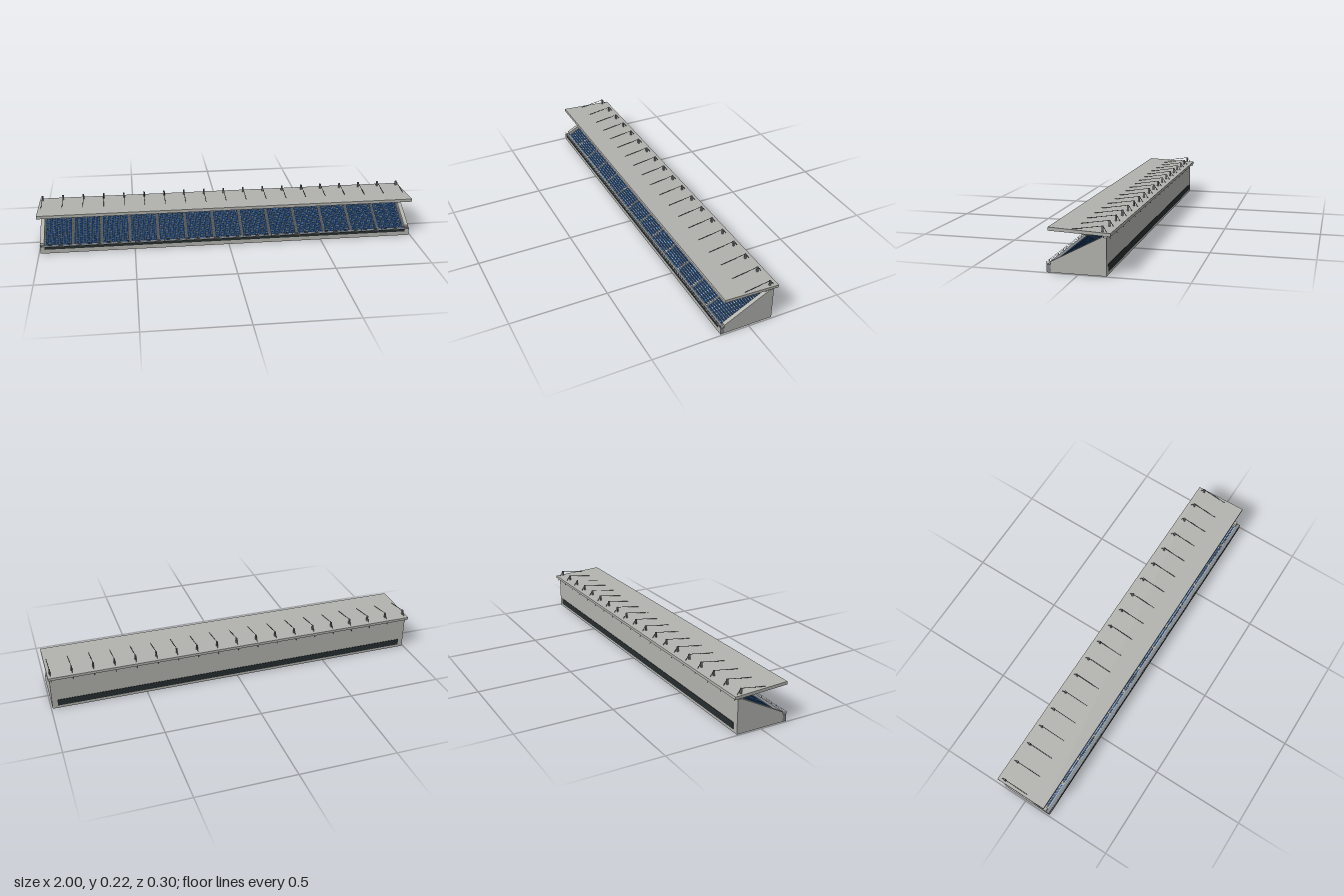
import * as THREE from 'three';
import { mergeGeometries } from 'three/addons/utils/BufferGeometryUtils.js';

const mat = (name, color) => new THREE.MeshStandardMaterial({ name, color });

// Box given by its limits on each axis
function box(x0, x1, y0, y1, z0, z1) {
  return new THREE.BoxGeometry(x1 - x0, y1 - y0, z1 - z0)
    .translate((x0 + x1) / 2, (y0 + y1) / 2, (z0 + z1) / 2);
}

// Thin round bar in a plane of constant x, between two [z, y] points
function rod(x, a, b, r) {
  const p = new THREE.Vector3(x, a[1], a[0]);
  const q = new THREE.Vector3(x, b[1], b[0]);
  const d = q.clone().sub(p);
  const turn = new THREE.Quaternion().setFromUnitVectors(new THREE.Vector3(0, 1, 0), d.clone().normalize());
  const mid = p.add(q).multiplyScalar(0.5);
  return new THREE.CylinderGeometry(r, r, d.length(), 6).applyQuaternion(turn).translate(mid.x, mid.y, mid.z);
}

// Outline of [z, y] points extruded along x
function slab(points, x0, x1) {
  const shape = new THREE.Shape(points.map(([z, y]) => new THREE.Vector2(-z, y)));
  return new THREE.ExtrudeGeometry(shape, { depth: x1 - x0, bevelEnabled: false })
    .rotateY(Math.PI / 2).translate(x0, 0, 0);
}

export function createModel() {
  const concrete = mat('concrete', 0xb2b2ae);
  const steel = mat('steel', 0x7f8489);
  const cable = mat('dark cable', 0x45494c);
  const glass = mat('dark glass', 0x262d2f);
  const blue = mat('seat blue', 0x2c62a6);
  const aisle = mat('aisle concrete', 0xa3a5a4);

  const group = new THREE.Group();
  group.name = 'grandstand';
  const add = (name, geos, material) => {
    const mesh = new THREE.Mesh(mergeGeometries(geos), material);
    mesh.name = name;
    group.add(mesh);
  };

  // End walls with the sloping top edge
  const profile = [[0.128, 0], [0.128, 0.05], [-0.105, 0.173], [-0.127, 0.173], [-0.127, 0]];
  add('endWalls', [slab(profile, 0.972, 0.993), slab(profile, -0.993, -0.972)], concrete);
  add('backWall', [box(-0.972, 0.972, 0, 0.173, -0.127, -0.106)], concrete);
  add('backWindowBand', [box(-0.965, 0.965, 0.015, 0.049, -0.129, -0.127)], glass);

  // Terraces, seats and aisle stairs
  const rows = 22, blocks = 13, seatsPerRow = 15;
  const pitch = 0.0106, rise = 0.0056, blockWidth = 0.1496, aisleWidth = 0.013;
  const steps = [], stairs = [], seats = [];
  for (let r = 0; r < rows; r++) {
    const z1 = 0.128 - r * pitch, z0 = z1 - pitch, y = 0.032 + r * rise;
    steps.push(box(-0.972, 0.972, 0, y, z0 + 0.0006, z1));
    for (let b = 0; b < blocks; b++) {
      const left = (b - blocks / 2) * blockWidth;
      if (b > 0) {
        const w = aisleWidth / 2 - 0.0015;
        stairs.push(box(left - w, left + w, y, y + rise / 2, z0, z1 - pitch / 2));
      }
      const step = (blockWidth - aisleWidth) / seatsPerRow;
      for (let s = 0; s < seatsPerRow; s++) {
        const x = left + aisleWidth / 2 + (s + 0.5) * step, h = step * 0.41;
        seats.push(box(x - h, x + h, y + 0.0025, y + 0.004, z0 + 0.002, z0 + 0.0072));
        seats.push(box(x - h, x + h, y + 0.0025, y + 0.0092, z0 + 0.0008, z0 + 0.002));
      }
    }
  }
  add('terraceSteps', steps, concrete);
  add('aisleStairs', stairs, aisle);
  add('seats', seats, blue);

  // Front walkway, its facing and the dark band
  add('frontWalkway', [box(-0.993, 0.993, 0, 0.037, 0.128, 0.146)], steel);
  add('frontFacing', [box(-0.993, 0.993, 0, 0.037, 0.146, 0.147)], concrete);
  add('frontBand', [box(-0.97, 0.97, 0.022, 0.036, 0.147, 0.148)], glass);

  // Guard rail along the front
  const rail = [0.043, 0.049].map(y => box(-0.993, 0.993, y - 0.0004, y + 0.0004, 0.1462, 0.147));
  for (let i = 0; i <= 52; i++) {
    const x = -0.992 + i * (1.984 / 52);
    rail.push(box(x - 0.0005, x + 0.0005, 0.037, 0.049, 0.1462, 0.147));
  }
  add('frontRail', rail, steel);

  // Tapered cantilever roof
  add('roof', [slab([[0.136, 0.191], [0.136, 0.207], [-0.147, 0.194], [-0.147, 0.18]], -1, 1)], concrete);

  // Masts with stays above the roof and struts below it
  const masts = [], stays = [], struts = [];
  for (let i = 0; i < 19; i++) {
    const x = (i - 9) * 0.1094;
    masts.push(box(x - 0.004, x + 0.004, 0.165, 0.223, -0.112, -0.104));
    stays.push(rod(x, [-0.106, 0.222], [0.03, 0.201], 0.0014));
    stays.push(rod(x, [-0.11, 0.222], [-0.144, 0.168], 0.0014));
    struts.push(rod(x, [-0.1, 0.165], [0.03, 0.19], 0.0018));
  }
  add('masts', masts, steel);
  add('roofStays', stays, cable);
  add('roofStruts', struts, steel);

  return group;
}
